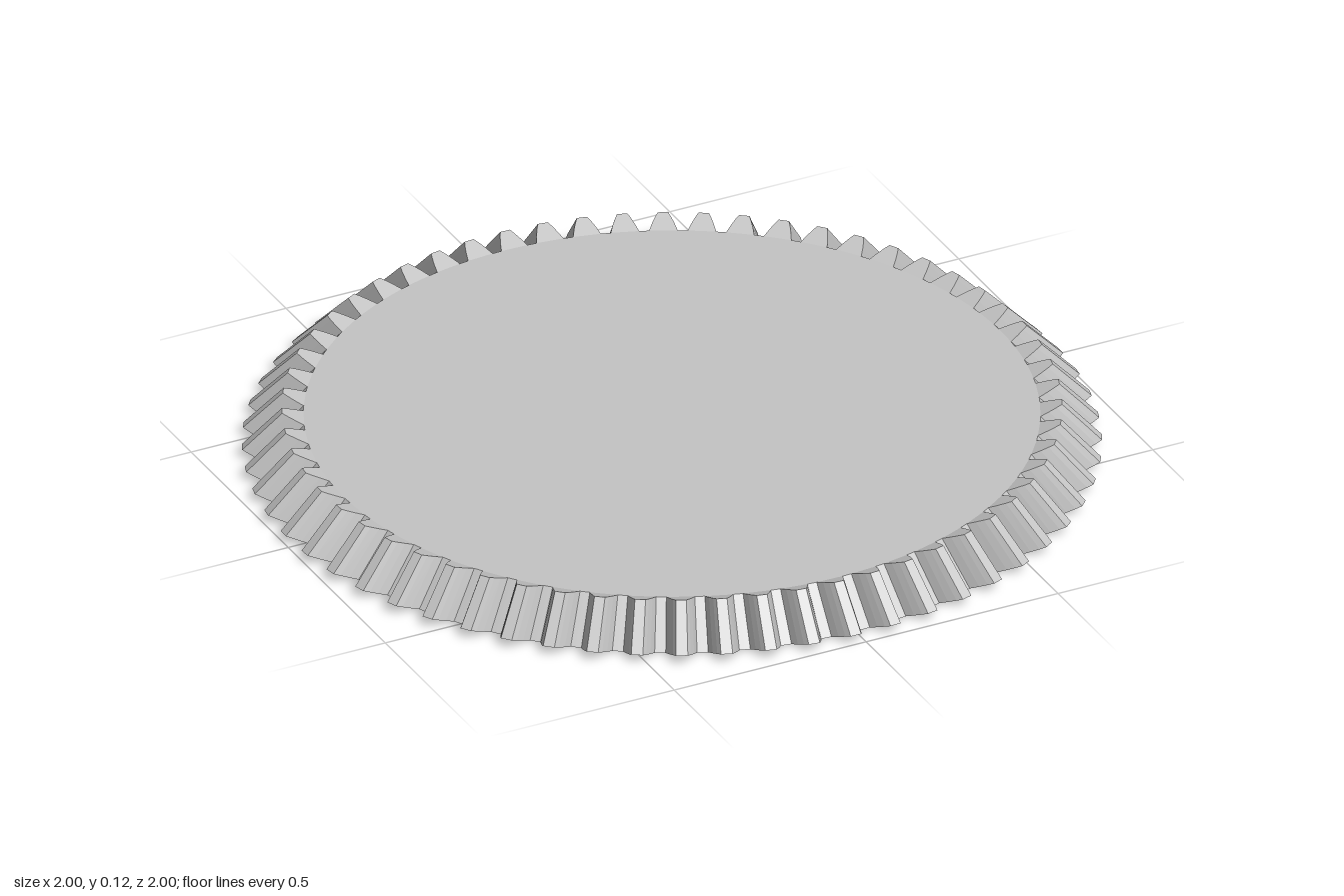
import * as THREE from 'three';
import { mergeGeometries } from 'three/addons/utils/BufferGeometryUtils.js';

const TEETH = 60;
const PITCH = (Math.PI * 2) / TEETH;
// Root and tip of the tooth as [radius, height], at the wide and narrow ends
const WIDE = { root: [0.945, 0], tip: [1.0, 0.024] };
const NARROW = { root: [0.857, 0.1], tip: [0.907, 0.12] };
// Tooth flank as [depth from root to tip, half width in pitches]
const FLANK = [[0, 0.37], [0.4, 0.285], [0.75, 0.2], [1, 0.13]];

// Cross-section of one tooth, running counter-clockwise seen from above
function section(end, angle) {
  const half = FLANK.map(([t, w]) => [t, -w]);
  const outline = half.concat(FLANK.slice().reverse());
  return outline.map(([t, w]) => {
    const r = THREE.MathUtils.lerp(end.root[0], end.tip[0], t);
    const y = THREE.MathUtils.lerp(end.root[1], end.tip[1], t);
    const a = angle + w * PITCH;
    return [r * Math.sin(a), y, r * Math.cos(a)];
  });
}

// One tapered tooth with flat facets
function toothGeometry(angle) {
  const low = section(WIDE, angle);
  const high = section(NARROW, angle);
  const n = low.length;
  const pos = [];
  const tri = (a, b, c) => pos.push(...a, ...b, ...c);
  for (let i = 0; i < n - 1; i++) {
    tri(low[i], low[i + 1], high[i + 1]);
    tri(low[i], high[i + 1], high[i]);
  }
  // End faces, as strips across the tooth
  for (let i = 0; i < n / 2 - 1; i++) {
    const j = n - 1 - i;
    tri(high[i], high[i + 1], high[j - 1]);
    tri(high[i], high[j - 1], high[j]);
    tri(low[i], low[j - 1], low[i + 1]);
    tri(low[i], low[j], low[j - 1]);
  }
  const g = new THREE.BufferGeometry();
  g.setAttribute('position', new THREE.Float32BufferAttribute(pos, 3));
  g.computeVertexNormals();
  return g;
}

export function createModel() {
  const group = new THREE.Group();
  group.name = 'bevelGear';
  const steel = new THREE.MeshStandardMaterial({ color: 0xc4c4c4 });
  steel.name = 'light grey steel';

  // Solid conical disc
  const height = NARROW.root[1];
  const body = new THREE.Mesh(
    new THREE.CylinderGeometry(NARROW.root[0], WIDE.root[0], height, 240), steel);
  body.position.y = height / 2;
  body.name = 'gearBody';

  // Ring of teeth, a quarter pitch off the axis
  const parts = [];
  for (let i = 0; i < TEETH; i++) parts.push(toothGeometry((i - 0.25) * PITCH));
  const teeth = new THREE.Mesh(mergeGeometries(parts), steel);
  teeth.name = 'gearTeeth';

  group.add(body, teeth);
  return group;
}
